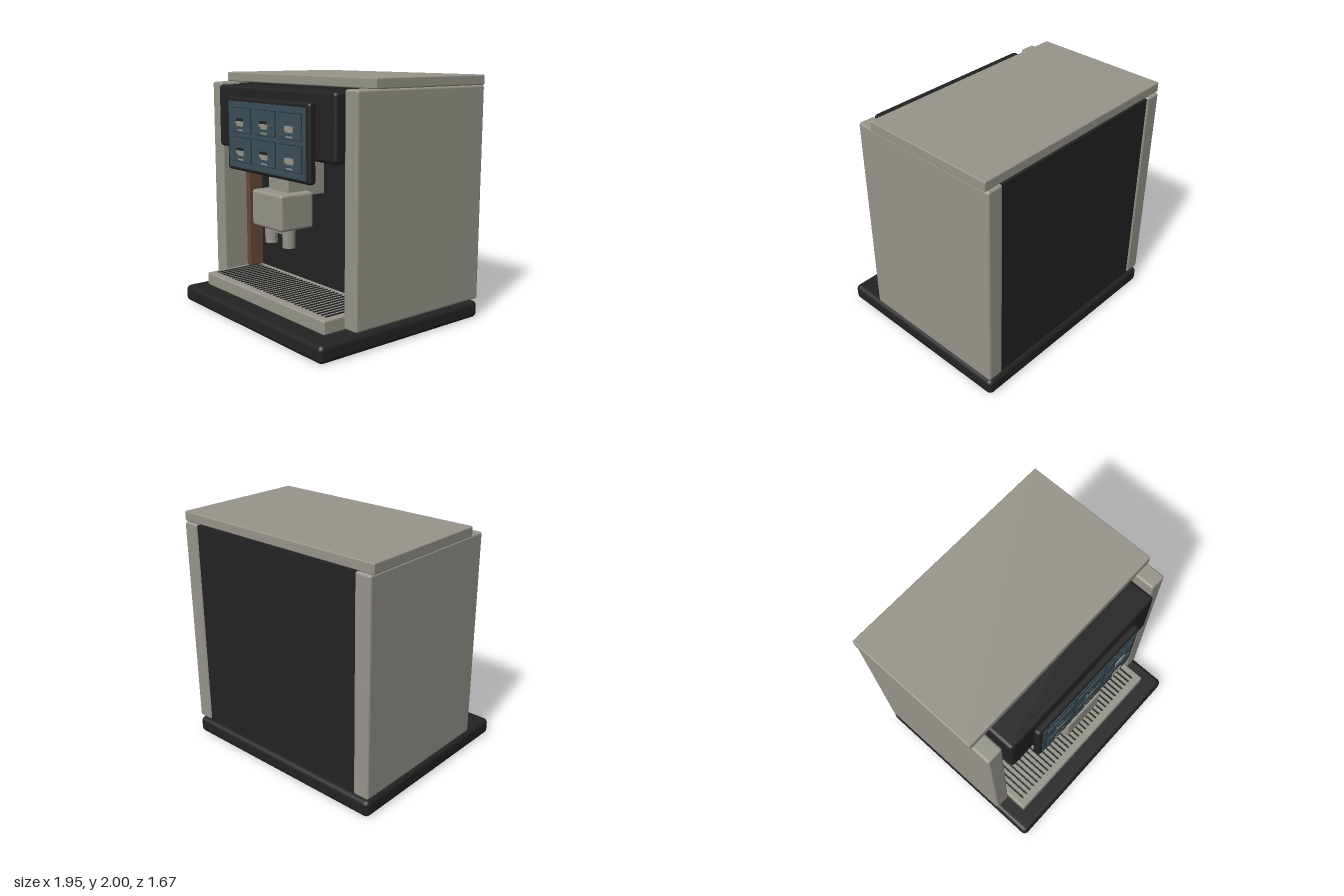
import * as THREE from 'three';
import { RoundedBoxGeometry } from 'three/addons/geometries/RoundedBoxGeometry.js';

const material = (name, color) => {
  const m = new THREE.MeshStandardMaterial({ color });
  m.name = name;
  return m;
};

export function createModel() {
  const machine = new THREE.Group();
  machine.name = 'coffeeMachine';

  const grey = material('warm grey', 0x96948a);
  const black = material('black', 0x222222);
  const wood = material('brown', 0x664a3a);
  const glass = material('screen blue', 0x3a4f59);
  const line = material('dark blue', 0x25343c);

  // Box given by its limits on each axis; rounded when a radius is given
  const box = (name, mat, [x0, x1], [y0, y1], [z0, z1], r = 0, parent = machine) => {
    const size = [x1 - x0, y1 - y0, z1 - z0];
    const geo = r ? new RoundedBoxGeometry(...size, 3, r) : new THREE.BoxGeometry(...size);
    const mesh = new THREE.Mesh(geo, mat);
    mesh.position.set((x0 + x1) / 2, (y0 + y1) / 2, (z0 + z1) / 2);
    mesh.name = name;
    parent.add(mesh);
    return mesh;
  };

  // Housing
  box('base', black, [-0.965, 0.965], [0, 0.14], [-0.835, 0.835], 0.04);
  box('plinth', black, [-0.8, 0.8], [0.13, 0.2], [-0.79, 0.13]);
  box('body', black, [-0.825, 0.825], [0.16, 1.91], [-0.815, 0.14]);
  box('upperBody', black, [-0.825, 0.825], [1.83, 1.91], [0.13, 0.32]);
  box('lid', grey, [-0.975, 0.975], [1.92, 2], [-0.81, 0.345], 0.01);
  for (const s of [-1, 1]) {
    const span = (a, b) => (s > 0 ? [a, b] : [-b, -a]);
    const side = s > 0 ? 'left' : 'right';
    box(side + 'SidePanel', grey, span(0.82, 0.962), [0.16, 1.92], [-0.828, 0.505], 0.02);
    box(side + 'WoodTrim', wood, span(0.76, 0.822), [0.25, 1.83], [0.13, 0.27]);
  }

  // Hood with the touch screen
  box('hood', black, [-0.785, 0.785], [1.38, 1.9], [0.13, 0.555], 0.03);
  box('screenBezel', black, [-0.562, 0.562], [1.21, 1.815], [0.55, 0.615], 0.025);
  box('screen', glass, [-0.522, 0.522], [1.24, 1.78], [0.613, 0.621]);

  // Six drink tiles, each with an outline and a cup icon
  const tiles = new THREE.Group();
  tiles.name = 'drinkTiles';
  machine.add(tiles);
  for (const y of [1.63, 1.39]) {
    [-0.335, 0, 0.335].forEach((x, column) => {
      const plate = (name, mat, w, h, dy, z, t = 0.004) =>
        box(name, mat, [x - w / 2, x + w / 2], [y + dy - h / 2, y + dy + h / 2], [z, z + t], 0, tiles);
      plate('tileOutline', line, 0.296, 0.206, 0, 0.621);
      plate('tile', glass, 0.284, 0.194, 0, 0.623, 0.009);
      plate('cupIcon', grey, 0.09, 0.05, -0.022, 0.632);
      plate('cupRim', grey, 0.11, column < 2 ? 0.02 : 0.036, -0.018, 0.634, 0.006);
      if (column < 2) plate('coffeeIcon', black, 0.094, 0.022, 0.006, 0.636, 0.006);
      plate('labelBar', grey, 0.08, 0.012, -0.08, 0.632, 0.002);
    });
  }

  // Dispenser
  const dispenser = new THREE.Group();
  dispenser.name = 'dispenser';
  machine.add(dispenser);
  box('dispenserNeck', grey, [-0.135, 0.135], [1.04, 1.4], [0.13, 0.5], 0.01, dispenser);
  box('dispenserHead', grey, [-0.203, 0.203], [0.79, 1.085], [0.3, 0.62], 0.025, dispenser);
  box('spoutBridge', grey, [-0.08, 0.08], [0.745, 0.81], [0.44, 0.52], 0, dispenser);
  for (const x of [-0.12, 0.12]) {
    const spout = new THREE.Mesh(new THREE.CylinderGeometry(0.055, 0.052, 0.17, 32), grey);
    spout.position.set(x, 0.725, 0.485);
    spout.name = 'spout';
    dispenser.add(spout);
  }

  // Drip tray with a row of slots
  box('dripTray', grey, [-0.822, 0.822], [0.15, 0.26], [0.13, 0.69], 0.012);
  const slots = new THREE.Group();
  slots.name = 'trayGrille';
  machine.add(slots);
  for (let i = -16; i <= 16; i++) {
    const x = i * 0.0472;
    box('slot', black, [x - 0.008, x + 0.008], [0.257, 0.266], [0.19, 0.625], 0, slots);
  }

  return machine;
}
